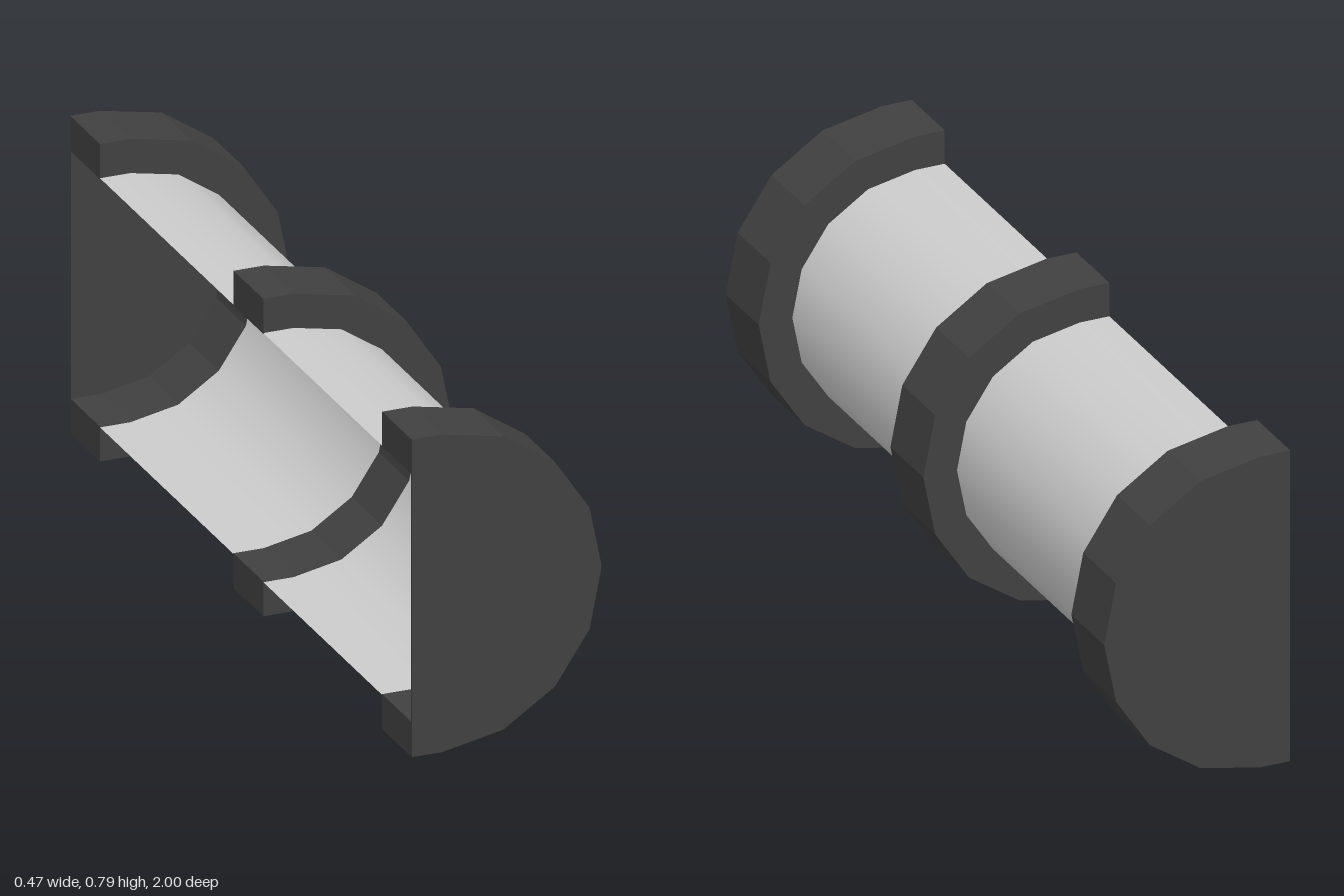
import * as THREE from 'three';

const CX = -0.16, CY = 0.395, BACK = -0.235;

// U-shaped section: straight lip, half circle of eight sides, straight lip
function arch(radius) {
  const pts = [new THREE.Vector2(BACK, CY - radius)];
  for (let i = 0; i <= 8; i++) {
    const a = -Math.PI / 2 + (i * Math.PI) / 8;
    pts.push(new THREE.Vector2(CX + radius * Math.cos(a), CY + radius * Math.sin(a)));
  }
  pts.push(new THREE.Vector2(BACK, CY + radius));
  return pts;
}

// Open smooth trough swept along z
function troughGeometry(radius, z0, z1) {
  const pts = arch(radius);
  const pos = [], index = [];
  pts.forEach((p) => pos.push(p.x, p.y, z0, p.x, p.y, z1));
  for (let i = 0; i < pts.length - 1; i++) {
    const a = i * 2;
    index.push(a, a + 2, a + 1, a + 1, a + 2, a + 3);
  }
  const g = new THREE.BufferGeometry();
  g.setAttribute('position', new THREE.Float32BufferAttribute(pos, 3));
  g.setIndex(index);
  g.computeVertexNormals();
  return g;
}

export function createModel() {
  const group = new THREE.Group();
  const dark = new THREE.MeshStandardMaterial({ color: 0x404040, side: THREE.DoubleSide });
  dark.name = 'dark grey';
  const light = new THREE.MeshStandardMaterial({ color: 0xcccccc, side: THREE.DoubleSide });
  light.name = 'light grey';

  const add = (name, geometry, material, z = 0) => {
    const mesh = new THREE.Mesh(geometry, material);
    mesh.name = name;
    mesh.position.z = z;
    group.add(mesh);
  };

  // Half-round channel
  add('channel', troughGeometry(0.31, -0.99, 0.99), light);

  // Collars around the channel, their inner face just inside it
  const collar = new THREE.Shape([...arch(0.395), ...arch(0.308).reverse()]);
  const collarGeometry = new THREE.ExtrudeGeometry(collar, { depth: 0.174, bevelEnabled: false });
  add('frontCollar', collarGeometry, dark, 0.826);
  add('middleCollar', collarGeometry, dark, -0.044);
  add('backCollar', collarGeometry, dark, -1);

  // Thin plates closing both ends
  const plate = new THREE.ExtrudeGeometry(new THREE.Shape(arch(0.308)), { depth: 0.004, bevelEnabled: false });
  add('frontEndPlate', plate, dark, 0.996);
  add('backEndPlate', plate, dark, -1);

  return group;
}
